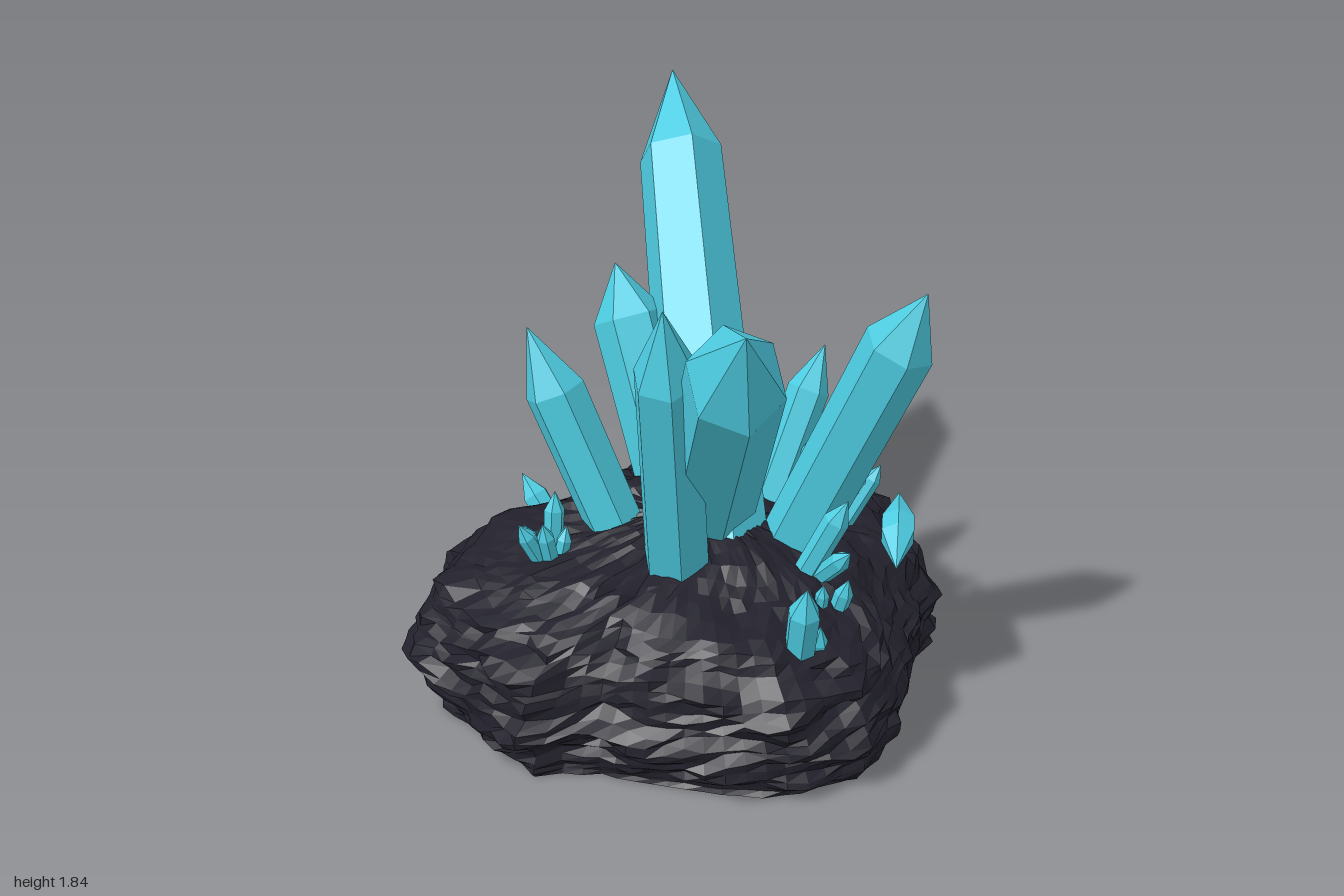
import * as THREE from 'three';

const crystalMat = new THREE.MeshStandardMaterial({ color: 0x4dcbe0, flatShading: true });
crystalMat.name = 'turquoise crystal';
const rockMat = new THREE.MeshStandardMaterial({ color: 0x22212c, flatShading: true });
rockMat.name = 'dark rock';

// Smooth seeded value noise in 0..1
function hash(x, y, z) {
  const s = Math.sin(x * 127.1 + y * 311.7 + z * 74.7) * 43758.5453;
  return s - Math.floor(s);
}
function noise(x, y, z) {
  const c = [x, y, z].map(Math.floor);
  const f = [x, y, z].map((v, i) => { const t = v - c[i]; return t * t * (3 - 2 * t); });
  let sum = 0;
  for (let i = 0; i < 8; i++) {
    const o = [i & 1, (i >> 1) & 1, (i >> 2) & 1];
    const w = o.reduce((p, b, k) => p * (b ? f[k] : 1 - f[k]), 1);
    sum += w * hash(c[0] + o[0], c[1] + o[1], c[2] + o[2]);
  }
  return sum;
}

// Rock plan outline (x, z), turning from +x towards +z
const PLAN = [[0.94, 0.08], [0.83, 0.19], [0.78, 0.29], [0.81, 0.43], [0.6, 0.53], [0.54, 0.61],
  [0.36, 0.8], [0.25, 0.88], [0.06, 0.98], [-0.18, 0.92], [-0.27, 0.86], [-0.4, 0.8], [-0.58, 0.61],
  [-0.66, 0.44], [-0.9, 0.35], [-0.97, 0.05], [-0.99, -0.21], [-0.97, -0.35], [-0.85, -0.45],
  [-0.67, -0.59], [-0.61, -0.7], [-0.49, -0.77], [-0.32, -0.72], [-0.13, -0.67], [0.03, -0.71],
  [0.17, -0.77], [0.27, -0.7], [0.55, -0.59], [0.68, -0.48], [0.8, -0.35], [0.95, -0.24], [0.99, -0.08]];
// Rock side profile: fraction of plan radius, height
const PROFILE = [[0, 0], [0.9, 0], [0.94, 0.05], [0.99, 0.12], [1.01, 0.2], [0.98, 0.28], [0.94, 0.35],
  [0.86, 0.42], [0.69, 0.485], [0.48, 0.54], [0.26, 0.585], [0, 0.61]];

// Distance from the centre to the plan outline along angle a
function planRadius(a) {
  const dx = Math.cos(a), dz = Math.sin(a);
  for (let i = 0; i < PLAN.length; i++) {
    const [px, pz] = PLAN[i], [qx, qz] = PLAN[(i + 1) % PLAN.length];
    const sp = dx * pz - dz * px, sq = dx * qz - dz * qx;
    if (sp <= 0 && sq > 0 && dx * px + dz * pz > 0) {
      const t = sp / (sp - sq);
      return Math.hypot(px + (qx - px) * t, pz + (qz - pz) * t);
    }
  }
  return 0.9;
}

function rock() {
  const around = 84, perStep = 3;
  const pos = [], index = [];
  const rings = [PROFILE[0]];
  for (let i = 1; i < PROFILE.length - 1; i++) {
    for (let k = 0; k < perStep; k++) {
      const t = k / perStep, p = PROFILE[i], q = PROFILE[i + 1];
      rings.push([p[0] + (q[0] - p[0]) * t, p[1] + (q[1] - p[1]) * t]);
    }
  }
  rings.push(PROFILE[PROFILE.length - 1]);
  rings.forEach(([f, y], i) => {
    for (let j = 0; j < around; j++) {
      const a = (j / around) * Math.PI * 2, s = Math.sin(a);
      // The foot spreads wider at the front and back than at the sides
      const foot = 0.06 * s * s * Math.max(0, 1 - y / 0.12);
      const r = planRadius(a) * (f + foot), x = Math.cos(a) * r, z = s * r;
      // Wide flat ledges plus a finer chipped layer
      const ledge = noise(x * 5 + 20, y * 20, z * 5 + 20) - 0.62;
      const chip = noise(x * 11 + 50, y * 40, z * 11 + 50) - 0.6;
      const out = (ledge * 0.1 + chip * 0.06) * Math.min(1, f * 1.5);
      // Uneven top, a little fuller towards the back and front
      const bump = (noise(x * 6 + 9, y * 8, z * 6 + 9) - 0.5) * 0.06 + (hash(i, j, 3) - 0.5) * 0.018;
      const full = (s < 0 ? -0.05 * s : 0.02 * s) * Math.sin(Math.PI * f);
      const lift = i < 2 || f === 0 ? 0 : bump * Math.min(1, y * 6) + full * Math.min(1, y * 2);
      const onAxis = f === 0 ? 0 : 1;
      pos.push((x + Math.cos(a) * out) * onAxis, Math.max(0, y + lift), (z + s * out) * onAxis);
      if (i < rings.length - 1) {
        const p = i * around + j, n = i * around + ((j + 1) % around);
        if (i > 0) index.push(p, p + around, n);
        if (i < rings.length - 2) index.push(n, p + around, n + around);
      }
    }
  });
  const g = new THREE.BufferGeometry();
  g.setAttribute('position', new THREE.Float32BufferAttribute(pos, 3));
  g.setIndex(index);
  g.computeVertexNormals();
  const m = new THREE.Mesh(g, rockMat);
  m.name = 'rockBase';
  return m;
}

// Six-sided crystal from a base point to a tip; "foot" scales the base radius (0 closes it
// to a point) and "squash" narrows the crystal sideways
function crystal(name, base, tip, r, tipLen, roll = 0, squash = 1, foot = 0.95) {
  const a = new THREE.Vector3(...base), dir = new THREE.Vector3(...tip).sub(a);
  const len = dir.length();
  const pts = [[0, 0], foot ? [r * foot, 0] : [r, len * 0.42], [r, len - tipLen], [0, len]];
  const g = new THREE.LatheGeometry(pts.map(p => new THREE.Vector2(...p)), 6);
  g.rotateY(roll).scale(squash, 1, 1);
  const m = new THREE.Mesh(g, crystalMat);
  m.name = name;
  m.position.copy(a);
  // Keep one corner in the upright plane of the lean
  const y = dir.normalize(), x = new THREE.Vector3().crossVectors(new THREE.Vector3(0, 1, 0), y).normalize();
  const z = new THREE.Vector3().crossVectors(x, y);
  m.quaternion.setFromRotationMatrix(new THREE.Matrix4().makeBasis(x, y, z));
  return m;
}

export function createModel() {
  const model = new THREE.Group();
  model.name = 'crystalCluster';
  model.add(rock());

  // Large crystals: name, base, tip, radius, tip length, roll, squash, foot
  const large = [
    ['tallBackCrystal', [0.02, 0.4, 0.15], [0.535, 1.84, -0.98], 0.19, 0.33, 0.15, 0.8, 1.2],
    ['tallFrontCrystal', [0.145, 0.4, -0.18], [-0.36, 1.67, 0.85], 0.185, 0.31, 0.15, 0.85, 1.1],
    ['frontLeftCrystal', [0.24, 0.45, 0.21], [0.445, 1.56, 0.67], 0.12, 0.22, 0.2, 0.93],
    ['frontRightCrystal', [-0.165, 0.45, 0.17], [-0.375, 1.6, 0.42], 0.128, 0.26, 0.3, 0.86, 1.05],
    ['backCrystal', [0.085, 0.42, -0.19], [0.085, 1.29, -0.65], 0.13, 0.2, 0.1],
    ['backRightCrystal', [-0.2, 0.45, -0.11], [-0.42, 1.26, -0.38], 0.108, 0.24, 0.2, 0.92],
    ['sideCrystal', [0.31, 0.45, -0.04], [0.62, 1.05, -0.1], 0.075, 0.17, 0.2],
    ['lowSideCrystal', [0.36, 0.5, -0.05], [0.74, 0.74, -0.13], 0.066, 0.13],
    ['lowBackSideCrystal', [0.36, 0.48, -0.32], [0.65, 0.75, -0.28], 0.045, 0.1],
    ['lyingCrystal', [0.51, 0.46, 0.5], [0.74, 0.56, 0.21], 0.065, 0.15, 0, 1, 0]
  ];
  large.forEach(c => model.add(crystal(...c)));

  // Small shards: base, tip, radius
  const shards = [
    [[0.16, 0.48, 0.42], [0.27, 0.81, 0.53], 0.045],
    [[0.2, 0.46, 0.42], [0.22, 0.67, 0.62], 0.035],
    [[-0.04, 0.38, 0.7], [-0.06, 0.7, 0.77], 0.055],
    [[0.02, 0.36, 0.7], [0.02, 0.52, 0.74], 0.035],
    [[0.19, 0.38, 0.57], [0.21, 0.58, 0.63], 0.032],
    [[0.14, 0.4, 0.56], [0.13, 0.57, 0.6], 0.024],
    [[-0.25, 0.38, -0.59], [-0.29, 0.52, -0.71], 0.05],
    [[0.38, 0.48, -0.3], [0.47, 0.63, -0.41], 0.042],
    // right cluster
    [[-0.49, 0.44, -0.15], [-0.6, 0.66, -0.15], 0.032],
    [[-0.49, 0.44, -0.17], [-0.56, 0.63, -0.19], 0.028],
    [[-0.48, 0.44, -0.13], [-0.53, 0.66, -0.11], 0.032],
    [[-0.47, 0.44, -0.16], [-0.44, 0.73, -0.18], 0.036],
    [[-0.46, 0.44, -0.14], [-0.43, 0.62, -0.12], 0.028],
    // left cluster
    [[0.42, 0.48, 0.03], [0.5, 0.78, 0.02], 0.037],
    [[0.46, 0.48, 0.06], [0.58, 0.76, 0.09], 0.036],
    [[0.48, 0.48, 0.1], [0.55, 0.73, 0.14], 0.032],
    [[0.51, 0.48, 0.12], [0.62, 0.7, 0.18], 0.036],
    [[0.54, 0.46, 0.15], [0.66, 0.69, 0.2], 0.032],
    [[0.4, 0.5, 0.04], [0.43, 0.7, 0.05], 0.028],
    [[0.48, 0.48, 0.16], [0.5, 0.68, 0.22], 0.028]
  ];
  const group = new THREE.Group();
  group.name = 'smallShards';
  shards.forEach(([b, t, r], i) => group.add(crystal('shard' + (i + 1), b, t, r, r * 1.9, i * 0.4)));
  model.add(group);
  return model;
}
